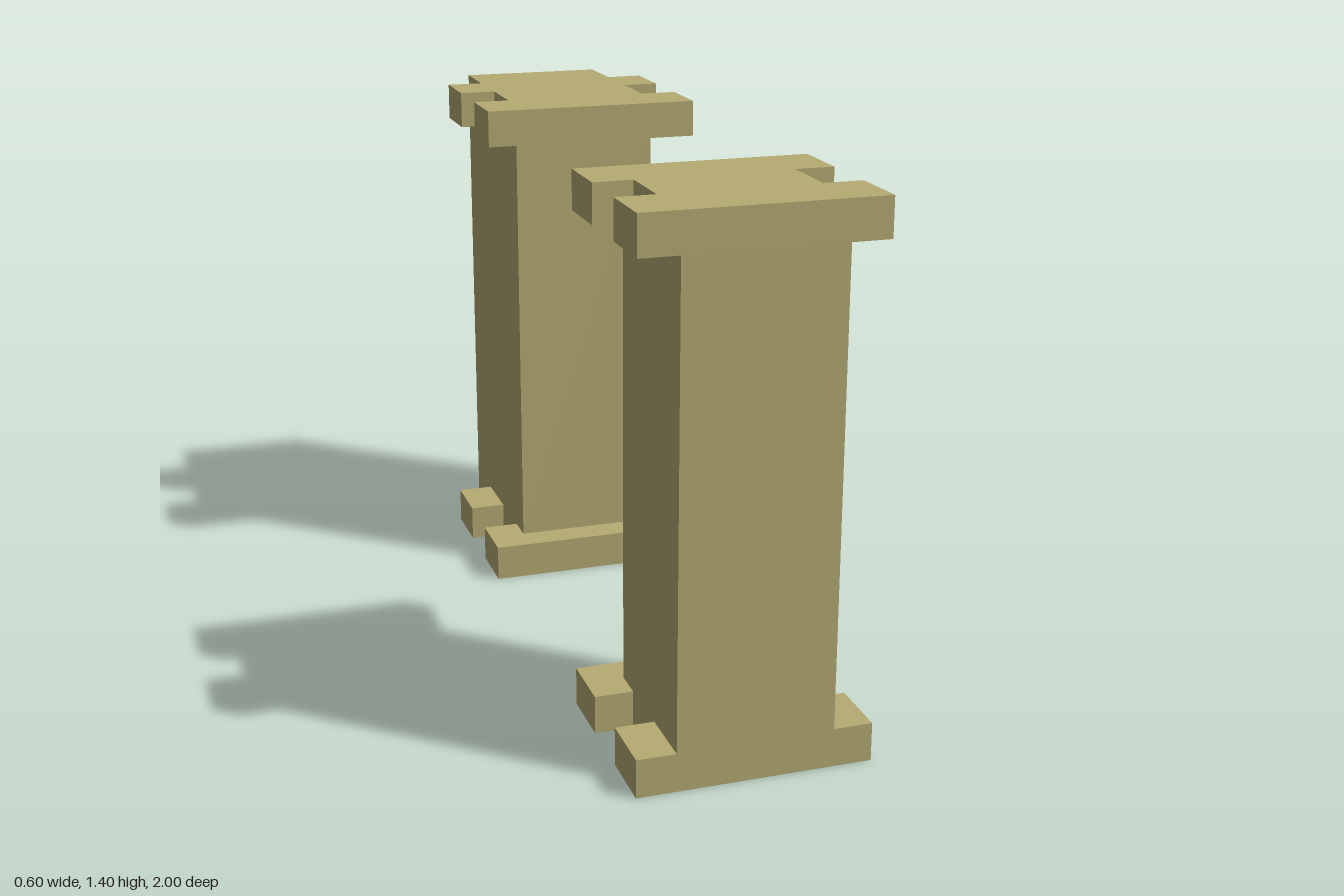
import * as THREE from 'three';

const HEIGHT = 1.4, PLATE = 0.1, CORE = 0.2, WIDE = 0.3;

// Half outline as [halfWidth, z] pairs, mirrored across x and extruded upward
function plateGeometry(half) {
  const right = half.map(([x, z]) => new THREE.Vector2(x, -z));
  const left = half.map(([x, z]) => new THREE.Vector2(-x, -z)).reverse();
  const geometry = new THREE.ExtrudeGeometry(new THREE.Shape([...right, ...left]), {
    depth: PLATE, bevelEnabled: false,
  });
  return geometry.rotateX(-Math.PI / 2);
}

function makePillar(name, coreBack, coreFront, outline, material) {
  const pillar = new THREE.Group();
  pillar.name = name;

  // Rectangular shaft between the two plates
  const shaft = new THREE.Mesh(
    new THREE.BoxGeometry(CORE * 2, HEIGHT - PLATE * 2, coreFront - coreBack), material);
  shaft.name = 'shaft';
  shaft.position.set(0, HEIGHT / 2, (coreBack + coreFront) / 2);
  pillar.add(shaft);

  // Matching notched plates at the foot and the head
  const geometry = plateGeometry(outline);
  for (const [plateName, y] of [['basePlate', 0], ['capPlate', HEIGHT - PLATE]]) {
    const plate = new THREE.Mesh(geometry, material);
    plate.name = plateName;
    plate.position.y = y;
    pillar.add(plate);
  }
  return pillar;
}

export function createModel() {
  const model = new THREE.Group();
  model.name = 'pillarPair';
  const stone = new THREE.MeshStandardMaterial({ color: 0xb5ab73 });
  stone.name = 'sandstone';

  model.add(makePillar('frontPillar', 0.585, 1, [
    [WIDE, 1], [WIDE, 0.833], [CORE, 0.833], [CORE, 0.667], [WIDE, 0.667], [WIDE, 0.5],
  ], stone));

  // The rear pillar is deeper, with a plain tail behind its tabs
  model.add(makePillar('backPillar', -1, -0.417, [
    [WIDE, -0.333], [WIDE, -0.5], [CORE, -0.5], [CORE, -0.667],
    [WIDE, -0.667], [WIDE, -0.833], [CORE, -0.833], [CORE, -1],
  ], stone));

  return model;
}
